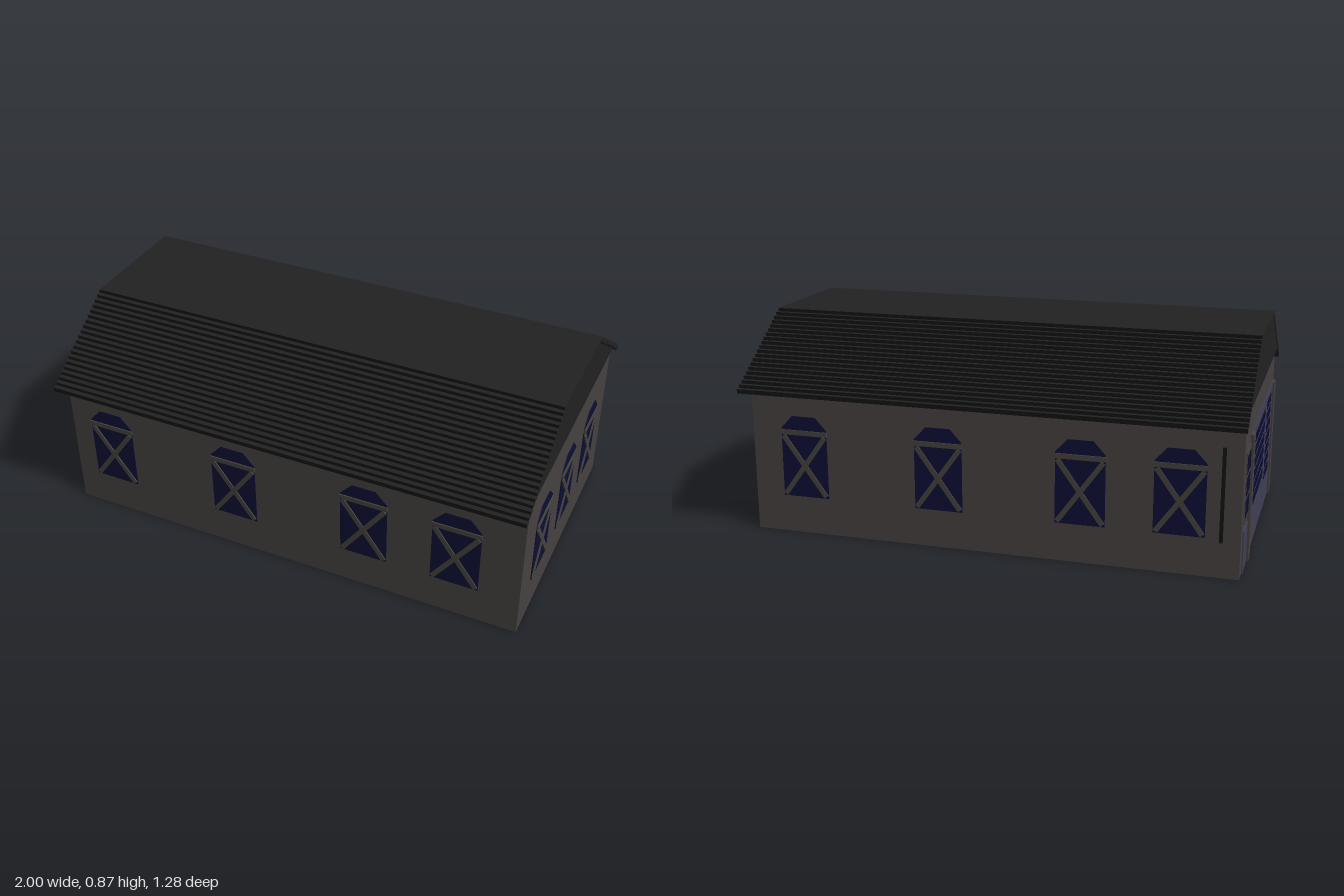
import * as THREE from 'three';

const material = (name, color) => {
  const m = new THREE.MeshStandardMaterial({ color });
  m.name = name;
  return m;
};

export function createModel() {
  const model = new THREE.Group();
  model.name = 'hall';
  const wall = material('wall grey', 0x474241);
  const roof = material('roof black', 0x222222);
  const riser = material('roof edge black', 0x131313);
  const glass = material('glass blue', 0x0d0d35);
  const bar = material('window bar grey', 0x45433d);
  const gate = material('gate blue grey', 0x424058);

  const box = (name, mat, w, h, d, x, y, z, parent = model) => {
    const mesh = new THREE.Mesh(new THREE.BoxGeometry(w, h, d), mat);
    mesh.name = name;
    mesh.position.set(x, y, z);
    parent.add(mesh);
    return mesh;
  };

  // Walls
  box('walls', wall, 1.974, 0.65, 1.11, 0.001, 0.325, 0.01);

  // Gable body filling the roof
  const gable = new THREE.Shape([
    [-0.56, 0.65], [0.55, 0.65], [0.245, 0.862], [-0.245, 0.862],
  ].map(([a, b]) => new THREE.Vector2(a, b)));
  const body = new THREE.Mesh(
    new THREE.ExtrudeGeometry(gable, { depth: 1.996, bevelEnabled: false }), roof);
  body.name = 'roofGables';
  body.rotation.y = Math.PI / 2;
  body.position.x = -0.998;
  model.add(body);

  // Roof slopes laid in narrow steps, with a flat top
  const steps = 20, run = 0.4 / steps, rise = 0.27 / steps;
  const stepMats = [roof, roof, roof, roof, riser, riser];
  for (const side of [-1, 1]) {
    for (let i = 0; i < steps; i++) {
      const h = rise + 0.004, d = run + 0.006;
      box('roofStep', stepMats, 2, h, d,
        0, 0.6 + (i + 1) * rise - h / 2, side * (0.64 - i * run - d / 2));
    }
  }
  box('roofTop', roof, 2, 0.012, 0.484, 0, 0.864, 0);

  // Arched window with a crossbar and diagonal bars
  const paneShape = new THREE.Shape([
    [-0.098, 0.155], [0.098, 0.155], [0.098, 0.44],
    [0.05, 0.492], [-0.05, 0.492], [-0.098, 0.44],
  ].map(([a, b]) => new THREE.Vector2(a, b)));
  const paneGeometry = new THREE.ExtrudeGeometry(paneShape, { depth: 0.003, bevelEnabled: false });
  const addWindow = (x, z, turn) => {
    const win = new THREE.Group();
    win.name = 'window';
    const pane = new THREE.Mesh(paneGeometry, glass);
    pane.name = 'pane';
    win.add(pane);
    box('crossbar', bar, 0.2, 0.02, 0.008, 0, 0.425, 0.004, win);
    for (const s of [-1, 1]) {
      const b = box('diagonalBar', bar, 0.02, 0.305, 0.008, 0, 0.287, 0.004, win);
      b.rotation.z = s * Math.atan2(0.18, 0.25);
    }
    win.position.set(x, 0, z);
    win.rotation.y = turn;
    model.add(win);
  };
  for (const x of [-0.795, -0.225, 0.345, 0.725]) {
    addWindow(x, 0.565, 0);
    addWindow(-x - 0.03, -0.545, Math.PI);
  }
  for (const z of [0.33, 0.005, -0.315]) addWindow(0.988, z, Math.PI / 2);

  // Narrow slot near the corner of the back wall
  box('backSlot', riser, 0.014, 0.37, 0.006, -0.913, 0.325, -0.546);

  // Gate end: local x runs along the wall towards the front
  const end = new THREE.Group();
  end.name = 'gateEnd';
  end.position.x = -0.986;
  end.rotation.y = -Math.PI / 2;
  model.add(end);
  const plate = (name, mat, x0, x1, y0, y1, depth) =>
    box(name, mat, x1 - x0, y1 - y0, depth, (x0 + x1) / 2, (y0 + y1) / 2, depth / 2, end);
  const paneGrid = (name, x0, x1, y0, y1, cols, rows, gap, depth) => {
    const w = (x1 - x0) / cols, h = (y1 - y0) / rows;
    for (let i = 0; i < cols; i++) {
      for (let j = 0; j < rows; j++) {
        plate(name, glass, x0 + i * w + gap, x0 + (i + 1) * w - gap,
          y0 + j * h + gap, y0 + (j + 1) * h - gap, depth);
      }
    }
  };

  // Large gate and its narrower leaf
  plate('gate', gate, -0.3, 0.2, 0, 0.51, 0.004);
  plate('gateLeaf', gate, 0.2, 0.475, 0, 0.51, 0.005);
  paneGrid('gatePane', -0.28, 0.18, 0.17, 0.48, 7, 6, 0.008, 0.006);
  paneGrid('leafPane', 0.24, 0.42, 0.13, 0.49, 3, 7, 0.008, 0.007);

  // Gate posts
  plate('gatePost', wall, -0.355, -0.3, 0, 0.51, 0.013);
  plate('gatePost', wall, 0.475, 0.535, 0, 0.51, 0.013);

  // Side door with a small window above
  plate('sideDoor', gate, -0.485, -0.365, 0, 0.17, 0.005);
  plate('sideWindowFrame', bar, -0.49, -0.36, 0.2, 0.48, 0.004);
  paneGrid('sideWindowPane', -0.485, -0.365, 0.21, 0.47, 2, 3, 0.009, 0.006);

  return model;
}
